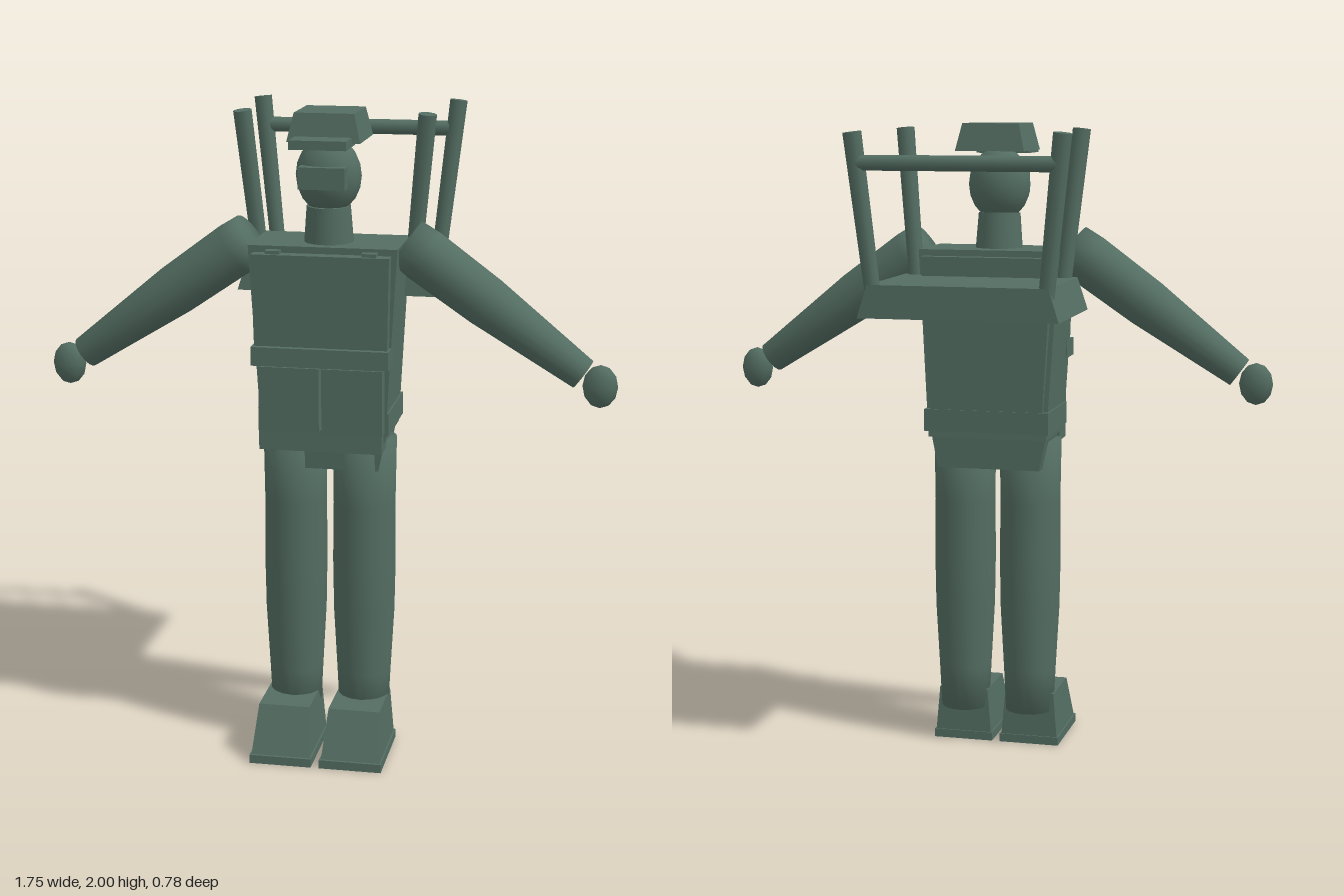
import * as THREE from 'three';

export function createModel() {
  const model = new THREE.Group();
  const green = new THREE.MeshStandardMaterial({ color: 0x536d62 });
  green.name = 'army green';

  function add(name, geometry) {
    const mesh = new THREE.Mesh(geometry, green);
    mesh.name = name;
    model.add(mesh);
    return mesh;
  }

  // Block between two rectangles [x0, x1, z0, z1] at heights y0 and y1
  function block(name, y0, y1, low, high = low) {
    const g = new THREE.BoxGeometry(1, 1, 1);
    const p = g.attributes.position;
    for (let i = 0; i < p.count; i++) {
      const top = p.getY(i) > 0;
      const r = top ? high : low;
      p.setXYZ(i, p.getX(i) > 0 ? r[1] : r[0], top ? y1 : y0, p.getZ(i) > 0 ? r[3] : r[2]);
    }
    g.computeVertexNormals();
    return add(name, g);
  }

  // Tapered round rod between two points
  function rod(name, a, b, ra, rb, sides = 10) {
    const from = new THREE.Vector3(...a), to = new THREE.Vector3(...b);
    const dir = to.clone().sub(from);
    const mesh = add(name, new THREE.CylinderGeometry(rb, ra, dir.length(), sides));
    mesh.position.copy(from).add(to).multiplyScalar(0.5);
    mesh.quaternion.setFromUnitVectors(new THREE.Vector3(0, 1, 0), dir.normalize());
    return mesh;
  }

  // Round limb turned from [radius, distance] pairs, with closed ends
  function limb(name, profile) {
    const last = profile[profile.length - 1];
    const pts = [[0, profile[0][1]], ...profile, [0, last[1]]];
    return add(name, new THREE.LatheGeometry(pts.map(([r, y]) => new THREE.Vector2(r, y)), 16));
  }

  // Torso and waist
  block('torso', 1.02, 1.61, [-0.19, 0.19, 0, 0.26], [-0.225, 0.225, 0.02, 0.27]);
  block('backPlate', 1.1, 1.59, [-0.18, 0.18, -0.012, 0.05], [-0.21, 0.21, -0.018, 0.05]);
  block('belt', 1.04, 1.11, [-0.2, 0.2, -0.015, 0.26]);
  block('pelvis', 0.92, 1.05, [-0.165, 0.165, 0.018, 0.235], [-0.19, 0.19, 0.018, 0.24]);
  block('frontBelt', 0.99, 1.06, [-0.19, 0.185, 0.2, 0.295]);

  // Vest front
  block('chestPlate', 1.25, 1.59, [-0.2, 0.2, 0.25, 0.3], [-0.207, 0.207, 0.25, 0.312]);
  block('pouchStrip', 1.255, 1.312, [-0.208, 0.208, 0.22, 0.322]);
  for (const s of [-1, 1]) {
    const x0 = s > 0 ? 0.004 : -0.188, x1 = s > 0 ? 0.188 : -0.004;
    block('lowerVestPanel', 1.05, 1.25, [x0, x1, 0.24, 0.305], [x0, x1, 0.24, 0.31]);
    block('vestClip', 1.575, 1.6, [s * 0.145 - 0.022, s * 0.145 + 0.022, 0.25, 0.3]);
  }

  // Neck, head, goggles and cap
  rod('neck', [0, 1.6, 0.16], [0, 1.72, 0.165], 0.075, 0.066, 14);
  const head = add('head', new THREE.SphereGeometry(1, 14, 10));
  head.scale.set(0.1, 0.115, 0.09);
  head.position.set(0, 1.81, 0.165);
  block('goggles', 1.78, 1.845, [-0.072, 0.068, 0.2, 0.275]);
  block('cap', 1.915, 2, [-0.11, 0.11, 0.03, 0.252], [-0.09, 0.09, 0.045, 0.237]);
  block('capBrim', 1.905, 1.932, [-0.085, 0.085, 0.2, 0.34]);

  for (const s of [-1, 1]) {
    // Sleeve, thick at the shoulder and thin at the wrist
    const shoulder = new THREE.Vector3(s * 0.235, 1.615, 0.16);
    const wrist = new THREE.Vector3(s * 0.77, 1.235, 0.163);
    const along = wrist.clone().sub(shoulder);
    const len = along.length();
    const arm = limb('arm', [[0.078, 0], [0.083, len * 0.1], [0.078, len * 0.45], [0.05, len]]);
    arm.position.copy(shoulder);
    arm.quaternion.setFromUnitVectors(new THREE.Vector3(0, 1, 0), along.normalize());
    const hand = add('hand', new THREE.SphereGeometry(1, 8, 6));
    hand.scale.set(0.053, 0.066, 0.037);
    hand.position.set(s * 0.822, 1.2, 0.165);

    // Trouser leg with a fuller knee
    const leg = limb('leg', [[0.078, 0.11], [0.085, 0.25], [0.096, 0.45], [0.099, 0.62], [0.097, 0.8], [0.1, 1.005]]);
    leg.position.set(s * 0.108, 0, 0.146);
    leg.scale.z = 1.05;

    // Boot
    const c = s * 0.11 - 0.003;
    block('bootSole', 0, 0.027, [c - 0.097, c + 0.097, 0.108, 0.39]);
    block('boot', 0.027, 0.17, [c - 0.092, c + 0.092, 0.112, 0.382], [c - 0.08, c + 0.08, 0.115, 0.318]);

    // Upturned chair legs
    rod('chairFrontLeg', [s * 0.235, 1.5, 0.035], [s * 0.282, 1.985, 0.076], 0.024, 0.028);
    rod('chairBackLeg', [s * 0.265, 1.5, -0.335], [s * 0.317, 1.98, -0.362], 0.024, 0.028);
  }

  // Chair seat and rail
  block('chairSeat', 1.43, 1.53, [-0.308, 0.308, -0.362, 0.06], [-0.277, 0.277, -0.36, 0.05]);
  rod('chairRail', [-0.31, 1.89, -0.36], [0.31, 1.89, -0.36], 0.024, 0.024);

  return model;
}
